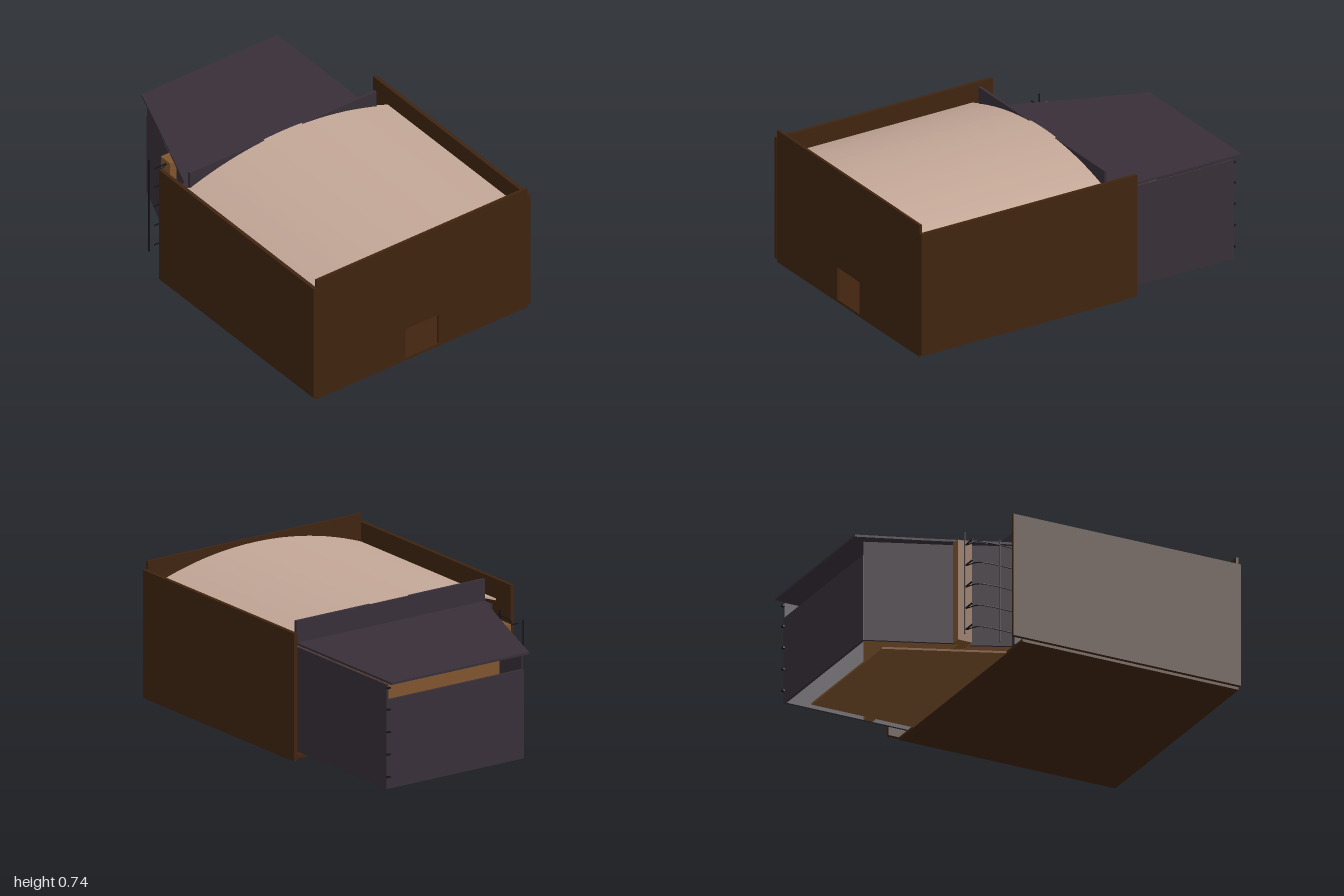
import * as THREE from 'three';

const mat = (name, color) => {
  const m = new THREE.MeshStandardMaterial({ color });
  m.name = name;
  return m;
};

export function createModel() {
  const brown = mat('dark brown cladding', 0x40240f);
  const timber = mat('light brown timber', 0x80552f);
  const pink = mat('pale roof', 0xc3a797);
  const slate = mat('slate purple', 0x382f38);
  const black = mat('black metal', 0x15131a);
  const model = new THREE.Group();

  const add = (name, geo, material, parent = model) => {
    const m = new THREE.Mesh(geo, material);
    m.name = name;
    parent.add(m);
    return m;
  };
  // Box from its minimum and maximum corners
  const box = (name, material, x0, x1, y0, y1, z0, z1, parent) => {
    const g = new THREE.BoxGeometry(x1 - x0, y1 - y0, z1 - z0);
    g.translate((x0 + x1) / 2, (y0 + y1) / 2, (z0 + z1) / 2);
    return add(name, g, material, parent);
  };
  // Horizontal slab from plan points [x, z]
  const slab = (name, material, pts, y0, y1, parent) => {
    const s = new THREE.Shape(pts.map(([x, z]) => new THREE.Vector2(x, -z)));
    const g = new THREE.ExtrudeGeometry(s, { depth: y1 - y0, bevelEnabled: false });
    g.rotateX(-Math.PI / 2).translate(0, y0, 0);
    return add(name, g, material, parent);
  };
  // Upright wall between two plan points
  const wall = (name, material, [ax, az], [bx, bz], y0, y1, t, parent) => {
    const g = new THREE.BoxGeometry(Math.hypot(bx - ax, bz - az), y1 - y0, t);
    g.rotateY(-Math.atan2(bz - az, bx - ax));
    g.translate((ax + bx) / 2, (y0 + y1) / 2, (az + bz) / 2);
    return add(name, g, material, parent);
  };

  // ---- Main hall ----
  const hall = new THREE.Group();
  hall.name = 'hall';
  model.add(hall);
  box('hallFloor', brown, -0.67, 0.67, 0, 0.015, -0.245, 0.985, hall);
  for (const s of [-1, 1]) {
    const x = s * 0.68;
    box('sideWall', brown, x - 0.01, x + 0.01, 0.015, 0.695, -0.305, 1, hall);
  }

  // Front wall with a small entrance cut through it
  const front = new THREE.Shape([
    [-0.67, 0], [-0.105, 0], [-0.105, 0.195], [0.105, 0.195],
    [0.105, 0], [0.67, 0], [0.67, 0.74], [-0.67, 0.74],
  ].map(([x, y]) => new THREE.Vector2(x, y)));
  const frontGeo = new THREE.ExtrudeGeometry(front, { depth: 0.015, bevelEnabled: false });
  add('frontWall', frontGeo.translate(0, 0, 0.984), brown, hall);
  box('entranceSill', brown, -0.105, 0.105, 0, 0.015, 0.985, 0.999, hall);

  // Raised stage and seats seen through the entrance
  box('stage', brown, -0.5, 0.5, 0.015, 0.095, -0.16, 0.1, hall);
  for (const s of [-1, 1]) {
    box('stageBench', black, s * 0.072 - 0.03, s * 0.072 + 0.03, 0.097, 0.103, 0.06, 0.08, hall);
    for (const x of [0.05, 0.07, 0.095]) {
      box('stageSeat', black, s * x - 0.003, s * x + 0.003, 0.095, 0.12, 0.06, 0.07, hall);
    }
  }

  // Shallow barrel roof
  const R = 1.858, top = 0.716, half = Math.asin(0.67 / R);
  const arc = (r, n = 24) => Array.from({ length: n + 1 }, (_, i) => {
    const a = half * (2 * i / n - 1);
    return new THREE.Vector2(r * Math.sin(a), top - R + r * Math.cos(a));
  });
  const roofShape = new THREE.Shape([...arc(R), ...arc(R - 0.01).reverse()]);
  const roofGeo = new THREE.ExtrudeGeometry(roofShape, { depth: 1.164, bevelEnabled: false });
  add('barrelRoof', roofGeo.translate(0, 0, -0.18), pink, hall);

  // Rear wall and its parapet
  box('rearWallInside', brown, -0.59, 0.59, 0.015, 0.585, -0.175, -0.168, hall);
  box('rearWallOutside', timber, -0.59, 0.59, 0.015, 0.58, -0.183, -0.175, hall);
  box('parapet', slate, -0.595, 0.59, 0.58, 0.712, -0.186, -0.17, hall);

  // ---- Rear annex ----
  const annex = new THREE.Group();
  annex.name = 'annex';
  model.add(annex);
  slab('annexRoof', slate, [
    [-0.28, -1], [0.585, -1], [0.585, -0.18], [-0.595, -0.18],
    [-0.595, -0.25], [-0.57, -0.25], [-0.4, -0.68],
  ], 0.583, 0.595, annex);
  box('annexSideWall', slate, 0.57, 0.583, 0.015, 0.572, -0.955, -0.184, annex);
  box('annexBackWall', slate, -0.28, 0.57, 0.015, 0.49, -0.955, -0.942, annex);
  wall('slantedWall', slate, [-0.275, -0.95], [-0.455, -0.52], 0.015, 0.565, 0.012, annex);
  wall('recessedWall', slate, [-0.47, -0.44], [-0.575, -0.22], 0.015, 0.575, 0.012, annex);
  box('cornerPost', slate, -0.595, -0.57, 0.015, 0.583, -0.25, -0.186, annex);
  box('partition', timber, -0.46, 0.57, 0.015, 0.575, -0.5, -0.45, annex);
  box('timberPillar', timber, -0.51, -0.455, 0.015, 0.575, -0.53, -0.45, annex);
  slab('annexFloor', timber, [
    [-0.25, -0.83], [0.51, -0.83], [0.51, -0.245], [-0.5, -0.245],
  ], 0.004, 0.015, annex);

  // Metal rails and poles beside the recess, hinges on the far corner
  const metal = new THREE.Group();
  metal.name = 'metalwork';
  model.add(metal);
  for (const z of [-0.53, -0.33]) {
    box('railPole', black, -0.588, -0.582, 0.015, 0.585, z - 0.003, z + 0.003, metal);
  }
  for (const y of [0.08, 0.2, 0.32, 0.44, 0.555]) {
    const path = new THREE.CatmullRomCurve3([
      [-0.5, -0.485], [-0.57, -0.45], [-0.585, -0.4], [-0.585, -0.25],
    ].map(([x, z]) => new THREE.Vector3(x, y, z)));
    add('rail', new THREE.TubeGeometry(path, 12, 0.003, 5), black, metal);
    box('railArm', black, -0.585, -0.5, y - 0.003, y + 0.003, -0.488, -0.482, metal);
    box('hinge', black, 0.565, 0.583, y - 0.004, y + 0.004, -0.967, -0.955, metal);
  }
  return model;
}
